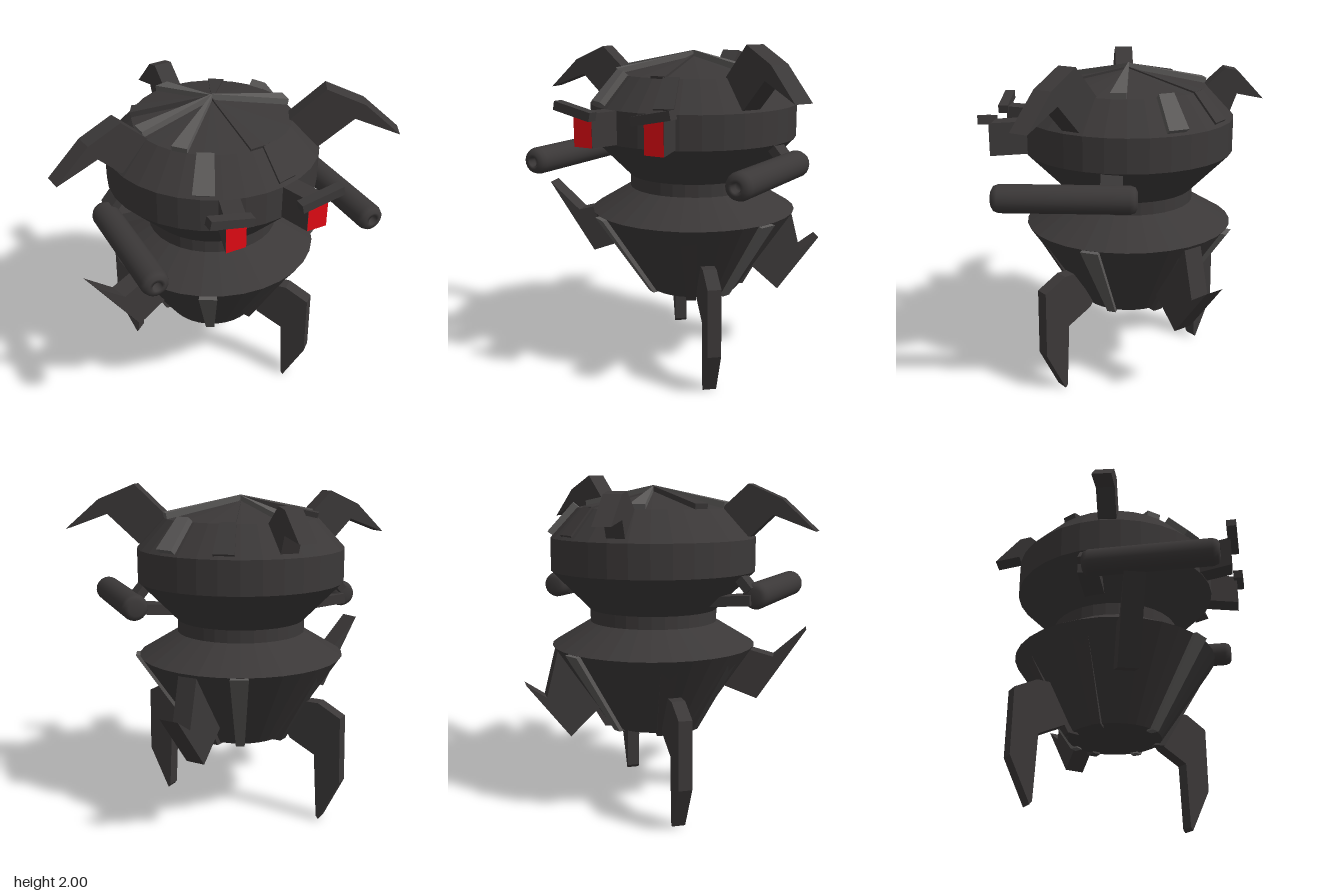
import * as THREE from 'three';

const DARK = new THREE.MeshStandardMaterial({ color: 0x3b3838, flatShading: true });
const LIGHT = new THREE.MeshStandardMaterial({ color: 0x5c5a59, flatShading: true });
const SMOOTH = new THREE.MeshStandardMaterial({ color: 0x3b3838 });
const RED = new THREE.MeshStandardMaterial({ color: 0xe00a14 });
const rad = THREE.MathUtils.degToRad;
const points = (list) => list.map(([x, y]) => new THREE.Vector2(x, y));

function mesh(name, geometry, material = DARK) {
  const m = new THREE.Mesh(geometry, material);
  m.name = name;
  return m;
}

// Plate with a (radius, height) outline, turned to an angle measured from +z towards +x
function fin(name, outline, angle, width, material = DARK) {
  const g = new THREE.ExtrudeGeometry(new THREE.Shape(points(outline)), { depth: width, bevelEnabled: false });
  g.translate(0, 0, -width / 2);
  const m = mesh(name, g, material);
  m.rotation.y = rad(angle - 90);
  return m;
}

// Fin whose width shrinks in proportion to the radius
function taperedFin(name, outline, angle, width, material) {
  const m = fin(name, outline, angle, width, material);
  const p = m.geometry.attributes.position;
  const rMax = Math.max(...outline.map((q) => q[0]));
  for (let i = 0; i < p.count; i++) p.setZ(i, p.getZ(i) * (0.06 + 0.94 * p.getX(i) / rMax));
  m.geometry.computeVertexNormals();
  return m;
}

// Square bar joining two points
function bar(name, a, b, w, d) {
  const from = new THREE.Vector3(...a), to = new THREE.Vector3(...b);
  const m = mesh(name, new THREE.BoxGeometry(w, from.distanceTo(to), d));
  m.position.copy(from).lerp(to, 0.5);
  m.quaternion.setFromUnitVectors(new THREE.Vector3(0, 1, 0), to.sub(from).normalize());
  return m;
}

function createEye(side, x, z, slant) {
  const eye = new THREE.Group();
  eye.name = side > 0 ? 'leftEye' : 'rightEye';
  // Stalk slanting outwards, its end square to the front
  const g = new THREE.BoxGeometry(0.12, 0.19, 0.32);
  g.translate(0, 0, -0.16);
  const p = g.attributes.position;
  for (let i = 0; i < p.count; i++) p.setX(i, p.getX(i) + slant * p.getZ(i));
  const stalk = mesh('eyeStalk', g);
  stalk.position.set(x, 1.54, z);
  const lens = mesh('lens', new THREE.PlaneGeometry(0.12, 0.19), RED);
  lens.position.set(x, 1.54, z + 0.002);
  // Slanted brow over the lens
  const brow = mesh('brow', new THREE.BoxGeometry(0.25, 0.05, 0.06));
  brow.position.set(side > 0 ? 0.215 : -0.305, 1.645, z + 0.013);
  brow.rotation.set(0, -0.04, side * 0.2);
  eye.add(stalk, lens, brow);
  return eye;
}

function createGun(side) {
  const gun = new THREE.Group();
  gun.name = side > 0 ? 'leftGun' : 'rightGun';
  // Barrel with rounded ends and a small muzzle hole
  const profile = [[0, -0.39], [0.045, -0.39], [0.068, -0.377], [0.078, -0.35],
    [0.078, 0.35], [0.068, 0.377], [0.045, 0.39], [0.028, 0.39], [0.024, 0.35], [0, 0.35]];
  const g = new THREE.LatheGeometry(points(profile), 20);
  g.rotateX(Math.PI / 2);
  const barrel = mesh('barrel', g, SMOOTH);
  barrel.position.set(side > 0 ? 0.66 : -0.672, 1.315, side > 0 ? 0.33 : 0.3);
  barrel.rotation.y = -0.022;
  // Two struts holding it to the head
  const z = side > 0 ? 0.08 : -0.06;
  gun.add(
    barrel,
    bar('upperStrut', [side * 0.5, 1.51, z], [side * 0.64, 1.35, z], 0.05, 0.12),
    bar('lowerStrut', [side * 0.34, 1.27, z], [side * 0.65, 1.295, z], 0.06, 0.12),
  );
  return gun;
}

export function createModel() {
  const model = new THREE.Group();
  model.name = 'robot';
  const core = new THREE.Group();
  core.name = 'body';
  core.position.set(0.02, 0, -0.02);
  model.add(core);

  // Turned body: lower bowl, neck, head and low conical lid
  const profile = [[0, 0.49], [0.28, 0.49], [0.617, 0.99], [0.385, 1.13], [0.385, 1.205],
    [0.617, 1.44], [0.617, 1.635], [0.455, 1.81], [0, 1.905]];
  core.add(mesh('shell', new THREE.LatheGeometry(points(profile), 32)));

  // Ribs down the lower bowl: raised ones, then steeper ones sunk in at the top
  for (const a of [-30, 71, 157]) {
    core.add(taperedFin('bowlRib', [[0.25, 0.48], [0.3, 0.48], [0.64, 0.985], [0.6, 0.99]], a, 0.105, LIGHT));
  }
  for (const a of [-147, -102, 27, 126]) {
    core.add(taperedFin('sunkenRib', [[0.24, 0.475], [0.31, 0.48], [0.6, 0.98], [0.55, 0.98]], a, 0.105, DARK));
  }

  // Ribs on the shoulder of the head: raised and nearly flush ones
  for (const [a, h, material] of [[-32, 0.035, LIGHT], [116, 0.035, LIGHT], [14, 0.008, DARK], [149, 0.008, DARK]]) {
    core.add(taperedFin('headRib', [[0.59, 1.64], [0.595 + h, 1.66 + h * 0.3],
      [0.45 + h * 0.8, 1.815 + h * 0.7], [0.43, 1.8]], a, 0.12, material));
  }

  // Spokes on the lid, widening towards the rim
  for (const [a, h, material] of [[-167, 0.03, LIGHT], [-120, 0.03, DARK], [84, 0.035, LIGHT], [-50, 0.03, LIGHT],
    [-88, 0.035, LIGHT], [4, 0.012, DARK], [149, 0.008, DARK]]) {
    core.add(taperedFin('lidSpoke', [[0, 1.88], [0.45, 1.79], [0.46, 1.81 + h], [0, 1.905 + h]], a, 0.09, material));
  }

  // Bent horns
  core.add(
    fin('rightHorn', [[0.43, 1.8], [0.595, 1.95], [0.79, 1.865], [0.985, 1.685], [0.74, 1.775],
      [0.61, 1.65], [0.5, 1.65]], -86, 0.11),
    fin('leftHorn', [[0.43, 1.81], [0.63, 2.0], [0.85, 1.91], [1.06, 1.73], [0.8, 1.825],
      [0.61, 1.65], [0.5, 1.65]], 60.5, 0.11),
    fin('backHorn', [[0.44, 1.8], [0.56, 1.91], [0.63, 1.895], [0.785, 1.73], [0.63, 1.76],
      [0.59, 1.65], [0.5, 1.65]], 184, 0.11),
  );

  // Two pointed legs on opposite sides, the back one set slightly further out
  for (const [name, angle, out] of [['frontLeg', 40, 0.01], ['backLeg', 219, 0.04]]) {
    const outline = [[0.3, 0.52], [0.42, 0.735], [0.5, 0.735], [0.64, 0.66], [0.645, 0.26],
      [0.515, 0], [0.5, 0.02], [0.48, 0.41], [0.32, 0.49]];
    core.add(fin(name, outline.map(([r, y]) => [r + out, y + out * 0.3]), angle, 0.08));
  }

  // Two claw arms raised at the tip
  core.add(
    fin('rightArm', [[0.4, 0.76], [0.57, 0.975], [0.735, 0.93], [0.925, 1.1], [0.64, 0.67]], -75, 0.12),
    fin('leftArm', [[0.35, 0.61], [0.52, 0.87], [0.6, 0.97], [0.67, 0.69], [0.79, 0.77], [0.53, 0.44]], 128, 0.12),
  );

  core.add(createEye(1, 0.212, 0.785, 0.27), createEye(-1, -0.263, 0.755, -0.33));
  core.add(createGun(1), createGun(-1));
  return model;
}
